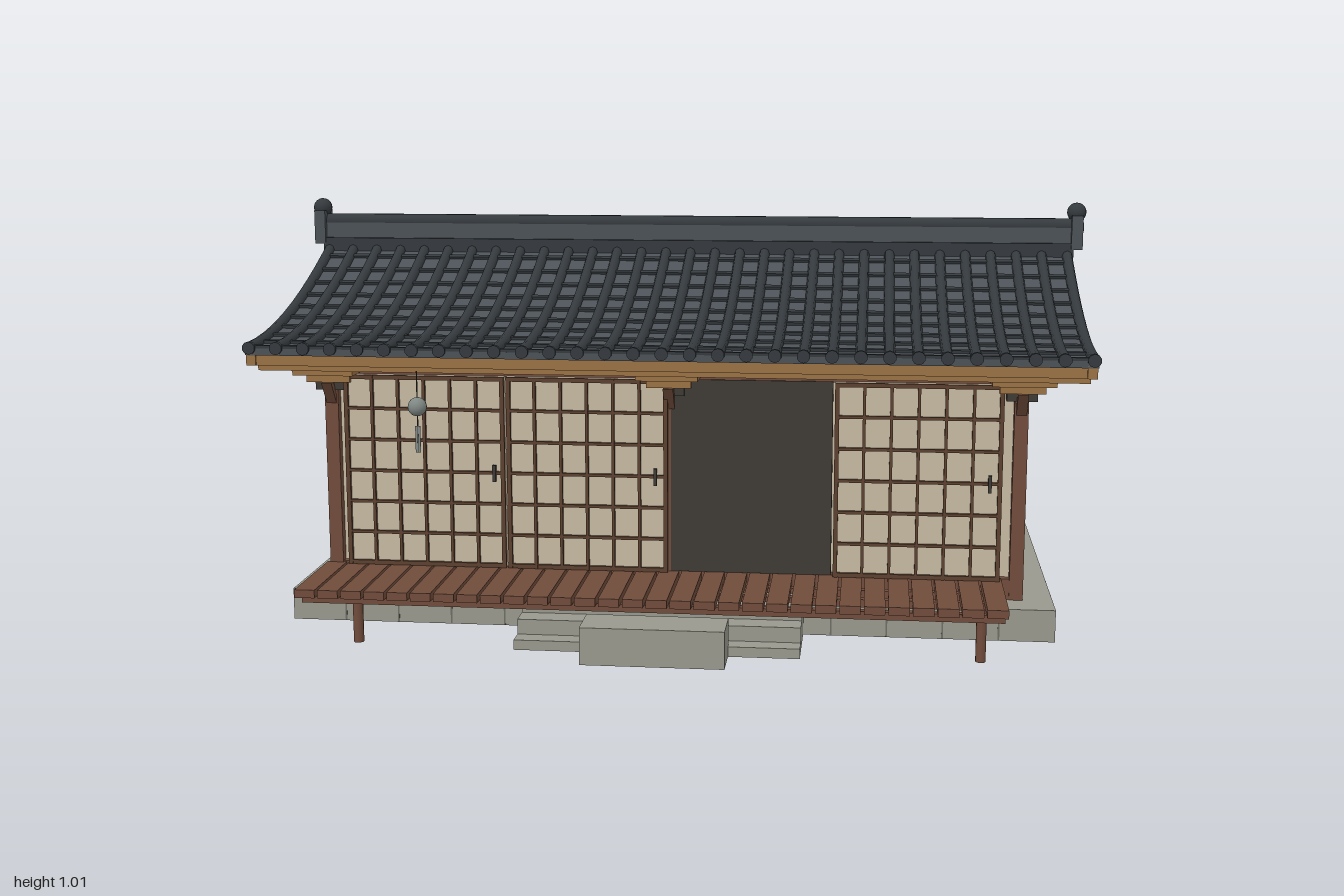
import * as THREE from 'three';

const mat = (name, color, extra = {}) => Object.assign(new THREE.MeshStandardMaterial({ color, ...extra }), { name });

export function createModel() {
  const model = new THREE.Group();
  model.name = 'tiledHouse';
  const M = {
    tile: mat('roofTile', 0x4c5257),
    darkTile: mat('darkTile', 0x353a3e),
    wood: mat('brownWood', 0x704c3b),
    lightWood: mat('paleWood', 0x9a7145),
    darkWood: mat('darkWood', 0x3f3a34),
    lattice: mat('latticeWood', 0x5c4130),
    plaster: mat('plaster', 0xc6b9a2),
    stone: mat('stone', 0x98988e),
    joint: mat('stoneJoint', 0x6c6c64),
    chime: mat('chimeMetal', 0x7f8884),
  };
  const ZR = -0.0925; // ridge line
  const HALF = 0.4825; // ridge to post line
  const EAVE = 0.655; // ridge to eave

  const add = (name, geo, m, parent = model) => {
    const mesh = new THREE.Mesh(geo, m);
    mesh.name = name;
    parent.add(mesh);
    return mesh;
  };
  const group = (name, parent = model) => {
    const g = new THREE.Group();
    g.name = name;
    parent.add(g);
    return g;
  };
  // box given by its limits on each axis
  const box = (name, m, [x0, x1], [y0, y1], [z0, z1], parent) => {
    const mesh = add(name, new THREE.BoxGeometry(x1 - x0, y1 - y0, z1 - z0), m, parent);
    mesh.position.set((x0 + x1) / 2, (y0 + y1) / 2, (z0 + z1) / 2);
    return mesh;
  };
  // outline of [z, y] points swept along x
  const sweepX = (name, m, pts, x0, x1, parent) => {
    const shape = new THREE.Shape(pts.map(([z, y]) => new THREE.Vector2(-z, y)));
    const geo = new THREE.ExtrudeGeometry(shape, { depth: x1 - x0, bevelEnabled: false });
    geo.rotateY(Math.PI / 2).translate(x0, 0, 0);
    return add(name, geo, m, parent);
  };
  // sagging roof line: height at distance d from the ridge
  const roofY = (d) => {
    const t = (0.76 - Math.sqrt(0.5776 - 0.42 * d)) / 0.21;
    return 0.7 + 0.185 * (1 - t) ** 2;
  };
  // layer following the roof line between signed distances a and b
  const band = (a, b, top, bottom, n = 24) => {
    const ds = Array.from({ length: n + 1 }, (_, i) => a + ((b - a) * i) / n);
    const line = (off) => ds.map((d) => [ZR + d, roofY(Math.abs(d)) + off]);
    return [...line(top), ...line(bottom).reverse()];
  };

  // stone base with block joints
  const base = group('stoneBase');
  box('baseSlab', M.stone, [-0.895, 0.895], [0.037, 0.112], [-0.665, 0.482], base);
  for (let i = 1; i < 14; i++) {
    const x = -0.895 + (i * 1.79) / 14;
    for (const z of [-0.665, 0.482]) box('joint', M.joint, [x - 0.002, x + 0.002], [0.038, 0.111], [z - 0.001, z + 0.001], base);
  }
  for (let i = 1; i < 9; i++) {
    const z = -0.665 + (i * 1.147) / 9;
    for (const x of [-0.895, 0.895]) box('joint', M.joint, [x - 0.001, x + 0.001], [0.038, 0.111], [z - 0.002, z + 0.002], base);
  }
  // entrance steps
  sweepX('entranceSteps', M.stone, [[0.45, 0.037], [0.665, 0.037], [0.665, 0.06], [0.62, 0.06], [0.62, 0.095],
    [0.565, 0.095], [0.565, 0.128], [0.45, 0.128]], -0.325, 0.32);
  box('steppingStone', M.stone, [-0.16, 0.16], [0.037, 0.122], [0.652, 0.757]);

  // house body, with gables reaching the roof
  sweepX('walls', M.plaster, [[ZR - HALF + 0.006, 0.112], ...band(-HALF + 0.006, HALF - 0.006, -0.025, 0).slice(0, 25),
    [ZR + HALF - 0.006, 0.112]], -0.8, 0.8);

  // veranda
  const deck = group('veranda');
  for (let i = 0; i < 30; i++) {
    const x = -0.834 + i * 0.0539;
    box('deckBoard', M.wood, [x, x + 0.047], [0.14, 0.159], [0.4, 0.655], deck);
  }
  for (const z of [0.45, 0.525, 0.62]) box('deckJoist', M.wood, [-0.825, 0.77], [0.122, 0.14], [z - 0.01, z + 0.01], deck);
  for (const x of [-0.725, 0, 0.725]) {
    add('deckPost', new THREE.CylinderGeometry(0.012, 0.012, 0.135, 10), M.wood, deck).position.set(x, 0.0675, 0.525);
  }

  // frame: posts, sills, top beams and eave brackets, front and back
  const frame = group('timberFrame');
  for (const s of [1, -1]) {
    const span = (a, b) => [ZR + s * a, ZR + s * b].sort((p, q) => p - q);
    box('sill', s > 0 ? M.wood : M.darkWood, [-0.82, 0.82], [0.112, s > 0 ? 0.162 : 0.14], span(0.47, 0.495), frame);
    box('topBeam', M.wood, [-0.82, 0.82], [0.618, 0.642], span(0.47, 0.495), frame);
    box('wallPurlin', M.wood, [-0.94, 0.94], [0.65, 0.685], span(0.468, 0.496), frame);
    box('eavePurlin', M.lightWood, [-0.95, 0.95], [0.641, 0.665], span(0.575, 0.6), frame);
    for (const x of [-0.81, 0, 0.81]) {
      box('post', M.wood, [x - 0.016, x + 0.016], [0.112, 0.68], span(0.466, 0.498), frame);
      box('bracketCap', M.darkWood, [x - 0.035, x + 0.035], [0.582, 0.602], span(0.45, 0.505), frame);
      box('bracketBlock', M.lightWood, [x - 0.052, x + 0.052], [0.602, 0.624], span(0.45, 0.52), frame);
      box('bracketArm', M.lightWood, [x - 0.072, x + 0.072], [0.624, 0.645], span(0.45, 0.562), frame);
      const brace = [[0.495, 0.545], [0.535, 0.602], [0.515, 0.602], [0.495, 0.57]].map(([d, y]) => [ZR + s * d, y]);
      sweepX('brace', M.wood, brace, x - 0.012, x + 0.012, frame);
    }
  }

  // grid of bars in the xy plane, centred on its group
  const grid = (parent, w, h, cols, rows, bar, edge) => {
    for (let i = 0; i <= cols; i++) {
      const b = i % cols ? bar : edge, x = -w / 2 + edge / 2 + ((w - edge) * i) / cols;
      box('verticalBar', M.lattice, [x - b / 2, x + b / 2], [-h / 2, h / 2], [0, 0.009], parent);
    }
    for (let j = 0; j <= rows; j++) {
      const b = j % rows ? bar : edge, y = -h / 2 + edge / 2 + ((h - edge) * j) / rows;
      box('horizontalBar', M.lattice, [-w / 2, w / 2], [y - b / 2, y + b / 2], [0, 0.008], parent);
    }
  };

  // sliding paper doors and the open doorway
  for (const [x0, x1, handle] of [[-0.775, -0.39, -0.415], [-0.385, -0.003, -0.032], [0.385, 0.77, 0.742]]) {
    const door = group('slidingDoor');
    const w = x1 - x0;
    door.position.set((x0 + x1) / 2, 0.39, 0.414);
    box('paper', M.plaster, [-w / 2, w / 2], [-0.23, 0.23], [-0.012, 0], door);
    grid(door, w, 0.46, 6, 6, 0.007, 0.01);
    const hx = handle - door.position.x;
    box('doorHandle', M.darkWood, [hx - 0.004, hx + 0.004], [-0.02, 0.02], [0.005, 0.014], door);
  }
  box('doorway', M.darkWood, [0.003, 0.38], [0.16, 0.62], [0.385, 0.406]);

  // gable windows and wainscot
  for (const s of [1, -1]) {
    const side = group('gableSide');
    const win = group('gableWindow', side);
    win.position.set(s * 0.802, 0.407, -0.09);
    win.rotation.y = (s * Math.PI) / 2;
    box('paper', M.plaster, [-0.265, 0.265], [-0.157, 0.157], [-0.004, 0.001], win);
    grid(win, 0.536, 0.318, 9, 4, 0.008, 0.01);
    const layer = (t) => [s * 0.798, s * (0.8 + t)].sort((a, b) => a - b);
    box('wainscotBack', M.darkWood, layer(0.003), [0.112, 0.213], [-0.56, 0.375], side);
    box('gableSill', M.darkWood, layer(0.015), [0.112, 0.14], [-0.56, 0.375], side);
    for (let i = 0; i < 18; i++) {
      const z = -0.558 + i * 0.0518;
      box('wainscotBoard', M.wood, layer(0.009), [0.14, 0.215], [z, z + 0.047], side);
    }
  }

  // roof layers
  const roof = group('roof');
  sweepX('tileBed', M.tile, band(-EAVE, EAVE, 0, -0.016), -0.96, 0.96, roof);
  sweepX('roofBoards', M.darkWood, band(-EAVE + 0.008, EAVE - 0.008, -0.016, -0.026), -0.95, 0.95, roof);
  for (const x of [-0.958, 0.936]) sweepX('bargeBoard', M.lightWood, band(-EAVE, EAVE, -0.012, -0.04), x, x + 0.022, roof);
  for (const s of [1, -1]) {
    // tile courses
    for (let i = 1; i <= 10; i++) {
      const d = (EAVE * i) / 10 - 0.006;
      const lip = box('courseLip', M.darkTile, [-0.96, 0.96], [-0.005, 0.005], [-0.006, 0.006], roof);
      lip.position.set(0, roofY(d) + 0.002, ZR + s * d);
      lip.rotation.x = s * Math.atan((roofY(d - 0.02) - roofY(d)) / 0.02);
    }
    // round tile ribs
    const path = new THREE.CatmullRomCurve3(Array.from({ length: 9 }, (_, i) =>
      new THREE.Vector3(0, roofY((EAVE * i) / 8) + 0.002, ZR + (s * EAVE * i) / 8)));
    const rib = new THREE.TubeGeometry(path, 10, 0.013, 8);
    const cap = new THREE.CylinderGeometry(0.015, 0.015, 0.012, 10).rotateX(Math.PI / 2);
    for (let i = 0; i < 31; i++) {
      const x = -0.95 + (i * 1.9) / 30;
      add('tileRib', rib, M.darkTile, roof).position.x = x;
      add('ribEnd', cap, M.darkTile, roof).position.set(x, roofY(EAVE) + 0.001, ZR + s * EAVE);
    }
    // rafters and eave board
    for (let i = 0; i < 26; i++) {
      const x = -0.92 + (i * 1.84) / 25;
      const [a, b] = s > 0 ? [0.47, 0.645] : [-0.645, -0.47];
      sweepX('rafter', M.wood, band(a, b, -0.024, -0.038, 4), x - 0.008, x + 0.008, roof);
    }
    const z = ZR + s * 0.642;
    box('eaveBoard', M.lightWood, [-0.95, 0.95], [0.66, 0.686], [z - 0.008, z + 0.008], roof);
  }

  // ridge with end ornaments
  const ridge = group('ridge');
  box('ridgeBase', M.darkTile, [-0.965, 0.965], [0.865, 0.905], [ZR - 0.03, ZR + 0.03], ridge);
  box('ridgeWall', M.tile, [-0.965, 0.965], [0.9, 0.95], [ZR - 0.019, ZR + 0.019], ridge);
  const capTile = add('ridgeCap', new THREE.CylinderGeometry(0.02, 0.02, 1.94, 10), M.darkTile, ridge);
  capTile.rotation.z = Math.PI / 2;
  capTile.position.set(0, 0.947, ZR);
  for (const s of [1, -1]) {
    const end = group('ridgeEnd', ridge);
    end.position.set(s * 0.973, 0, ZR);
    box('endBlock', M.tile, [-0.014, 0.014], [0.89, 0.975], [-0.033, 0.033], end);
    add('endKnob', new THREE.SphereGeometry(0.024, 14, 10), M.darkTile, end).position.set(0, 0.982, 0);
    const disc = add('endDisc', new THREE.CylinderGeometry(0.012, 0.012, 0.006, 14), M.lightWood, end);
    disc.rotation.z = Math.PI / 2;
    disc.position.set(s * 0.015, 0.945, 0);
  }

  // wind chime under the eave
  const chime = group('windChime');
  chime.position.set(-0.57, 0, 0.525);
  add('chimeBell', new THREE.SphereGeometry(0.022, 16, 12), M.chime, chime).position.y = 0.565;
  add('chimeString', new THREE.CylinderGeometry(0.0015, 0.0015, 0.19, 6), M.darkWood, chime).position.y = 0.553;
  box('chimeTag', M.chime, [-0.006, 0.006], [0.458, 0.52], [-0.001, 0.001], chime);

  return model;
}
